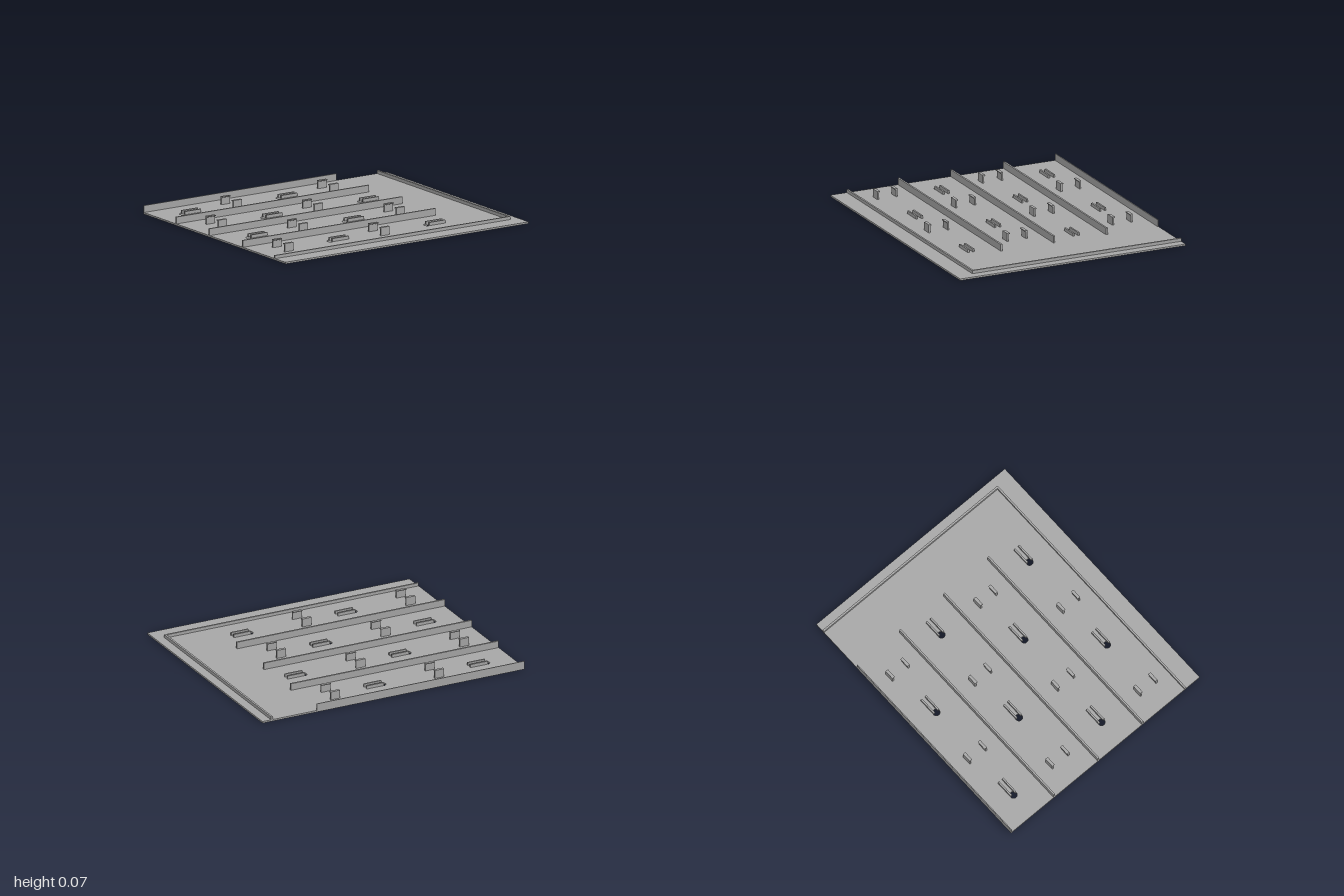
import * as THREE from 'three';

export function createModel() {
  const root = new THREE.Group();
  root.name = 'clipPanel';
  const grey = new THREE.MeshStandardMaterial({ color: 0xa6a6a6 });
  grey.name = 'grey';

  const T = 0.012; // plate thickness
  const rows = [-0.658, -0.262, 0.136, 0.532];
  const columns = [-0.805, -0.41, -0.013, 0.385];

  // box given by its limits on each axis
  function block(name, x0, x1, y0, y1, z0, z1, parent = root) {
    const mesh = new THREE.Mesh(new THREE.BoxGeometry(x1 - x0, y1 - y0, z1 - z0), grey);
    mesh.position.set((x0 + x1) / 2, (y0 + y1) / 2, (z0 + z1) / 2);
    mesh.name = name;
    parent.add(mesh);
  }

  // base plate, pierced by a round hole at every second grid point
  const outline = new THREE.Shape([
    new THREE.Vector2(-1, -0.85), new THREE.Vector2(1, -0.85),
    new THREE.Vector2(1, 0.85), new THREE.Vector2(-1, 0.85),
  ]);

  rows.forEach((z, r) => columns.forEach((x, c) => {
    const group = new THREE.Group();
    group.position.set(x, 0, z);
    root.add(group);
    if ((r + c) % 2 === 0) {
      // hole with a pair of guide rails
      outline.holes.push(new THREE.Path().absarc(x, -z, 0.025, 0, Math.PI * 2, true));
      group.name = 'guideRails';
      for (const s of [-1, 1]) {
        block('guideRail', 0, 0.132, T, 0.034, s * 0.019 - 0.006, s * 0.019 + 0.006, group);
      }
    } else {
      // two hooked posts facing each other
      group.name = 'clipPair';
      for (const s of [-1, 1]) {
        const hook = new THREE.Shape([
          [0.077, T], [0.077, 0.07], [0.056, 0.07], [0.056, 0.064], [0.065, 0.06], [0.065, T],
        ].map(([a, b]) => new THREE.Vector2(a, b)));
        const geometry = new THREE.ExtrudeGeometry(hook, { depth: 0.07, bevelEnabled: false });
        geometry.translate(0, 0, -0.035);
        const post = new THREE.Mesh(geometry, grey);
        post.rotation.y = s * Math.PI / 2;
        post.name = 'hookedPost';
        group.add(post);
      }
    }
  }));

  const plateGeometry = new THREE.ExtrudeGeometry(outline, { depth: T, bevelEnabled: false, curveSegments: 24 });
  plateGeometry.rotateX(-Math.PI / 2);
  const plate = new THREE.Mesh(plateGeometry, grey);
  plate.name = 'basePlate';
  root.add(plate);

  // long ribs between the rows, and a thin one along the back edge
  for (const z of [-0.46, -0.063, 0.335]) {
    block('rib', -1, 0.585, T, 0.06, z - 0.0065, z + 0.0065);
  }
  block('backRib', -1, 0.585, T, 0.06, -0.85, -0.8435);

  // low border along the front and left side
  block('frontBorder', -1, 0.935, T, 0.034, 0.714, 0.727);
  block('sideBorder', 0.921, 0.935, T, 0.034, -0.85, 0.714);

  return root;
}
